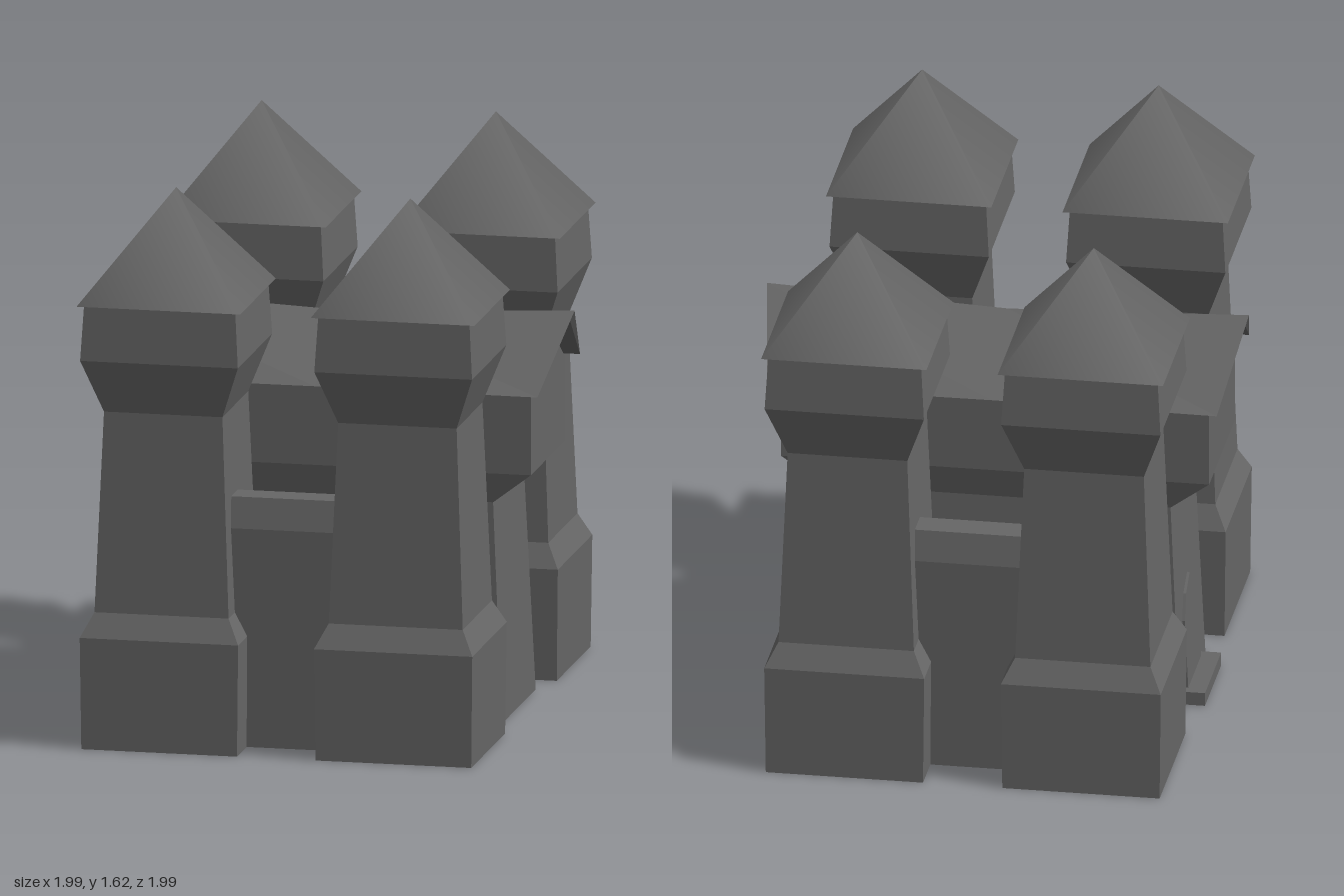
import * as THREE from 'three';

const stone = new THREE.MeshStandardMaterial({ color: 0x666666 });
stone.name = 'grey stone';

// Closed flat-faced solid through rings of matching points
function loft(rings) {
  const pos = [], n = rings[0].length, last = rings[rings.length - 1];
  const tri = (a, b, c) => pos.push(...a, ...b, ...c);
  for (let r = 0; r < rings.length - 1; r++) {
    for (let i = 0; i < n; i++) {
      const j = (i + 1) % n, p = rings[r], q = rings[r + 1];
      tri(p[i], p[j], q[j]);
      tri(p[i], q[j], q[i]);
    }
  }
  for (let i = 1; i < n - 1; i++) {
    tri(rings[0][0], rings[0][i + 1], rings[0][i]);
    tri(last[0], last[i], last[i + 1]);
  }
  const g = new THREE.BufferGeometry();
  g.setAttribute('position', new THREE.Float32BufferAttribute(pos, 3));
  g.computeVertexNormals();
  return g;
}

// Rectangle at height y with half sizes hx, hz
const rect = (y, hx, hz) => [[-hx, y, -hz], [-hx, y, hz], [hx, y, hz], [hx, y, -hz]];

function add(parent, name, geometry, x = 0, y = 0, z = 0) {
  const m = new THREE.Mesh(geometry, stone);
  m.name = name;
  m.position.set(x, y, z);
  parent.add(m);
  return m;
}

export function createModel() {
  const model = new THREE.Group();
  model.name = 'castle';
  const castle = new THREE.Group();
  castle.name = 'castleBody';
  castle.rotation.y = -Math.PI / 4;
  model.add(castle);

  // Four corner towers with wide foot, flared head and smooth pyramid roof
  const towerGeo = loft([[0, 0.23], [0.33, 0.234], [0.4, 0.198], [0.99, 0.175], [1.15, 0.233], [1.32, 0.223]]
    .map(([y, h]) => rect(y, h, h)));
  const roofGeo = new THREE.ConeGeometry(0.342, 0.312, 4);
  roofGeo.rotateY(Math.PI / 4);
  for (const sx of [-1, 1]) for (const sz of [-1, 1]) {
    const tower = new THREE.Group();
    tower.name = 'tower';
    tower.position.set(sx * 0.346, 0, sz * 0.58);
    castle.add(tower);
    add(tower, 'towerShaft', towerGeo);
    add(tower, 'towerRoof', roofGeo, 0, 1.468, 0);
  }

  // Bevel-topped walls: between paired towers, and from each tower to the hall
  const wall = [[0, 0.045], [0.65, 0.065], [0.74, 0.045]];
  const curtainGeo = loft(wall.map(([y, w]) => rect(y, 0.2, w)));
  const wingGeo = loft(wall.map(([y, w]) => rect(y, w, 0.11)));
  for (const sz of [-1, 1]) {
    add(castle, 'curtainWall', curtainGeo, 0, 0, sz * 0.635);
    for (const sx of [-1, 1]) add(castle, 'wingWall', wingGeo, sx * 0.395, 0, sz * 0.31);
  }

  // Hall: battered base that flares out to carry the upper storey
  add(castle, 'hallBase', loft([rect(0, 0.54, 0.23), rect(0.65, 0.51, 0.21), rect(0.74, 0.626, 0.23)]));
  add(castle, 'hallUpper', loft([[-0.626, 1.145], [0, 1.12], [0.626, 1.145]].map(([x, peak]) => [
    [x, peak, 0], [x, 0.99, 0.23], [x, 0.74, 0.23], [x, 0.74, -0.23], [x, 0.99, -0.23],
  ])));

  // Gabled hall roof with a sagging ridge and overhanging ends
  add(castle, 'hallRoof', loft([[-1, 1.18, 0.29], [0, 1.15, 0.283], [1, 1.18, 0.29]].map(([s, y, w]) => [
    [s * 0.705, y, 0], [s * 0.658, 0.985, w], [s * 0.69, y - 0.025, 0], [s * 0.658, 0.985, -w],
  ])));

  // Arched door and its step on the far gable end
  const arch = new THREE.Shape();
  arch.moveTo(-0.115, 0);
  arch.lineTo(0.115, 0);
  for (const [x, y] of [[0.115, 0.25], [0.075, 0.32], [0, 0.355], [-0.075, 0.32], [-0.115, 0.25]]) arch.lineTo(x, y);
  const lean = new THREE.Group();
  lean.name = 'doorway';
  lean.position.x = -0.54;
  lean.rotation.z = -0.046;
  castle.add(lean);
  const door = add(lean, 'door', new THREE.ExtrudeGeometry(arch, { depth: 0.008, bevelEnabled: false }));
  door.rotation.y = -Math.PI / 2;
  add(castle, 'doorStep', new THREE.BoxGeometry(0.08, 0.04, 0.29), -0.56, 0.02, 0);

  return model;
}
